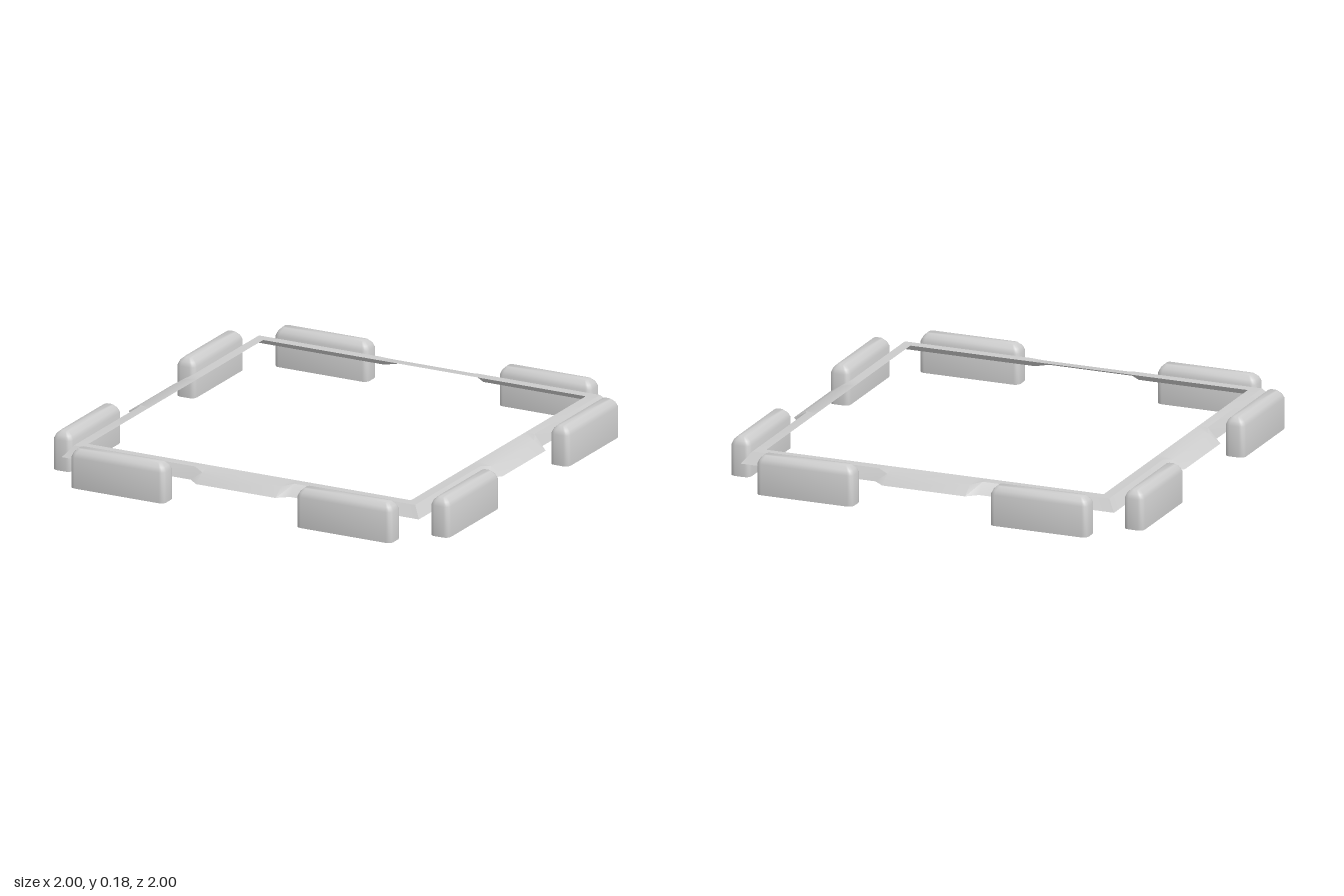
import * as THREE from 'three';
import { toCreasedNormals } from 'three/addons/utils/BufferGeometryUtils.js';

const material = new THREE.MeshStandardMaterial({ color: 0xcccccc });
const thinMaterial = new THREE.MeshStandardMaterial({ color: 0xcccccc, side: THREE.DoubleSide });

// Skin a list of cross-sections with equal point counts.
function loft(rows, crease) {
  const n = rows[0].length, index = [];
  for (let k = 0; k < rows.length - 1; k++) {
    for (let i = 0; i < n - 1; i++) {
      const a = k * n + i, b = a + 1, c = a + n, d = c + 1;
      index.push(a, b, c, b, d, c);
    }
  }
  const geometry = new THREE.BufferGeometry();
  geometry.setAttribute('position', new THREE.Float32BufferAttribute(rows.flat(2), 3));
  geometry.setIndex(index);
  return toCreasedNormals(geometry, crease);
}

// Closed rounded-rectangle loop, counter-clockwise from above.
function roundedLoop(halfLength, halfWidth, radius, y) {
  const points = [];
  const signs = [[1, 1], [-1, 1], [-1, -1], [1, -1]];
  signs.forEach(([sx, sz], q) => {
    for (let i = 0; i <= 3; i++) {
      const angle = (q + i / 3) * Math.PI / 2;
      points.push([
        sx * (halfLength - radius) + radius * Math.cos(angle), y,
        -sz * (halfWidth - radius) - radius * Math.sin(angle),
      ]);
    }
  });
  points.push([...points[0]]);
  return points;
}

// Upright pad: square foot, bevelled top.
function padGeometry(length) {
  const l = length / 2, w = 0.0475;
  const foot = roundedLoop(l, w, 0.025, 0);
  const top = roundedLoop(l - 0.027, w - 0.027, 0.014, 0.18);
  return loft([
    foot.map(() => [0, 0, 0]),
    foot,
    roundedLoop(l, w, 0.025, 0.143),
    roundedLoop(l - 0.009, w - 0.009, 0.021, 0.163),
    top,
    top.map(() => [0, 0.18, 0]),
  ], 0.8);
}

// One side of the thin frame: flat inner ledge, sloping skirt, bulged middle.
function railGeometry() {
  const inner = [0.813, 0.15], ridge = [0.86, 0.15], edge = [0.9, 0.1];
  const bulgeRidge = [0.885, 0.138], bulgeEdge = [0.943, 0.1];
  const plain = x => [edge, ridge, inner].map(([z, y]) => [x, y, z]);
  const bulged = x => [bulgeEdge, bulgeRidge, inner].map(([z, y]) => [x, y, z]);
  const corner = s => [edge, ridge, inner].map(([z, y]) => [s * z, y, z]);
  return loft([corner(1), plain(0.25), bulged(0.2), bulged(-0.2), plain(-0.25), corner(-1)], 0.6);
}

export function createModel() {
  const group = new THREE.Group();

  // Frame rails, mitred at the corners
  const rail = railGeometry();
  ['frontRail', 'rightRail', 'backRail', 'leftRail'].forEach((name, i) => {
    const mesh = new THREE.Mesh(rail, thinMaterial);
    mesh.name = name;
    mesh.rotation.y = -i * Math.PI / 2;
    group.add(mesh);
  });

  // Pads: name, side, start and end along the side
  const pads = [
    ['frontRightPad', 'front', -0.81, -0.335], ['frontLeftPad', 'front', 0.33, 0.81],
    ['backRightPad', 'back', -0.81, -0.34], ['backLeftPad', 'back', 0.32, 0.785],
    ['rightBackPad', 'right', -0.81, -0.34], ['rightFrontPad', 'right', 0.33, 0.81],
    ['leftBackPad', 'left', -0.79, -0.305], ['leftFrontPad', 'left', 0.33, 0.81],
  ];
  const offset = 0.952;
  for (const [name, side, from, to] of pads) {
    const mesh = new THREE.Mesh(padGeometry(to - from), material);
    const mid = (from + to) / 2;
    mesh.name = name;
    if (side === 'front' || side === 'back') {
      mesh.position.set(mid, 0, side === 'front' ? offset - 0.004 : -offset);
    } else {
      mesh.position.set(side === 'left' ? offset : -offset, 0, mid);
      mesh.rotation.y = Math.PI / 2;
    }
    group.add(mesh);
  }
  return group;
}
